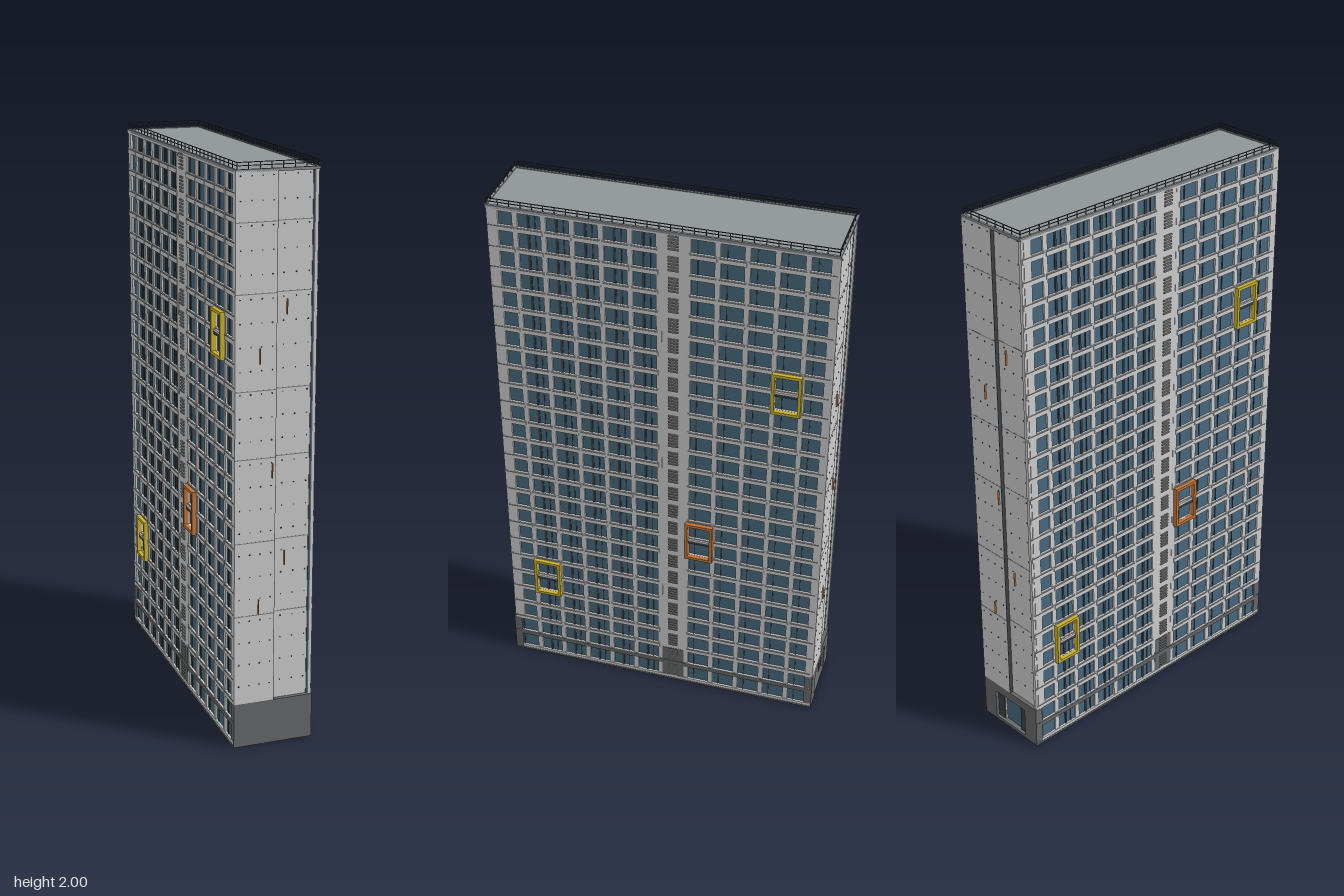
import * as THREE from 'three';
import { mergeGeometries } from 'three/addons/utils/BufferGeometryUtils.js';

const W = 0.285, L = 1.195, H = 1.972;      // footprint and wall height
const X = W / 2, Z = L / 2, STEP = 0.014;   // STEP: setback of half of each end wall
const FLOORS = 25, PITCH = 0.0787, FIRST = 0.048, WIN_H = 0.058;
const BAYS = 12, BAY = (L - 0.008) / BAYS, WIN_W = 0.08, VENT = 6;

const COLORS = {
  concrete: 0xcacac6, glass: 0x47677c, dark: 0x666768, trim: 0x3a4046,
  roof: 0x8f9594, yellow: 0xc9b02c, orange: 0xc27436, white: 0xe4e4e2, slat: 0x85888a,
};
const materials = {};
for (const k in COLORS) materials[k] = new THREE.MeshStandardMaterial({ color: COLORS[k] });

const box = (w, h, d, x, y, z) => new THREE.BoxGeometry(w, h, d).translate(x, y, z);
const floorY = (k) => FIRST + k * PITCH;
const bayZ = (i) => Z - 0.004 - BAY * (i + 0.5);

function add(group, name, color, geos) {
  const mesh = new THREE.Mesh(mergeGeometries(geos), materials[color]);
  mesh.name = name;
  group.add(mesh);
}

// Rectangular surround two floors high, with a cross bar
function windowFrame(bay, floor, color) {
  const g = new THREE.Group();
  g.name = 'projectingWindowFrame';
  const z = bayZ(bay), y = floorY(floor) + PITCH / 2;
  const w = 0.103, h = 0.16, t = 0.011, d = 0.026, x = X + 0.002;
  add(g, 'frameBars', color, [
    box(d, h, t, x, y, z - (w - t) / 2), box(d, h, t, x, y, z + (w - t) / 2),
    box(d, t, w, x, y - (h - t) / 2, z), box(d, t, w, x, y + (h - t) / 2, z),
  ]);
  add(g, 'frameCrossBar', 'trim', [box(0.012, 0.012, w - 2 * t, X, y - 0.006, z)]);
  add(g, 'frameSill', 'white', [box(0.014, 0.007, w - 2 * t, X, y + 0.003, z)]);
  return g;
}

// Long side: glass behind a grid of piers and spandrels, built facing +x
function facade() {
  const g = new THREE.Group();
  g.name = 'windowFacade';
  const piers = [], spandrels = [], mullions = [], slats = [], rails = [], lowBand = [];
  add(g, 'glazing', 'glass', [box(0.01, H - 0.01, L - 0.024, X - 0.013, H / 2, 0)]);
  for (let i = 0; i <= BAYS; i++) {
    const edge = i === 0 || i === BAYS;
    const w = edge ? 0.01 : BAY - WIN_W;
    const z = Z - 0.004 - BAY * i + (i === 0 ? -0.005 : edge ? 0.005 : 0);
    piers.push(box(0.012, H, w, X - 0.008, H / 2, z));
  }
  for (let i = 0; i < BAYS; i++) {
    const z = bayZ(i);
    if (i === VENT) {
      // Solid bay with louvres on each floor
      piers.push(box(0.012, H, BAY, X - 0.0085, H / 2, z));
      for (let k = 0; k < FLOORS; k++)
        for (let j = -2; j <= 2; j++) slats.push(box(0.006, 0.006, 0.035, X - 0.001, floorY(k) + j * 0.012, z));
      continue;
    }
    for (let k = 0; k < FLOORS; k++) {
      const y = floorY(k) + PITCH / 2;
      if (k < FLOORS - 1) {
        spandrels.push(box(0.013, PITCH - WIN_H, BAY - 0.006, X - 0.0065, y, z));
        rails.push(box(0.002, 0.002, BAY - 0.01, X + 0.001, y + 0.006, z));
      }
      const c = floorY(k);
      if (i > 0 && i < VENT) {
        mullions.push(box(0.005, WIN_H, 0.008, X - 0.007, c, z + 0.004));
        mullions.push(box(0.004, WIN_H, 0.003, X - 0.007, c, z - 0.02));
      } else mullions.push(box(0.004, WIN_H, 0.003, X - 0.007, c, z + 0.018));
    }
  }
  spandrels.push(box(0.013, 0.012, L - 0.008, X - 0.0065, H - 0.006, 0));
  spandrels.push(box(0.013, 0.019, L - 0.008, X - 0.0065, 0.0095, 0));
  lowBand.push(box(0.016, 0.018, L - 0.004, X - 0.007, 0.087, 0));
  lowBand.push(box(0.016, 0.008, L - 0.004, X - 0.007, 0.004, 0));
  lowBand.push(box(0.014, 0.16, 0.085, X - 0.0085, 0.08, bayZ(VENT)));
  add(g, 'piers', 'concrete', piers);
  add(g, 'spandrels', 'concrete', spandrels);
  add(g, 'spandrelRails', 'slat', rails);
  add(g, 'mullions', 'trim', mullions);
  add(g, 'louvres', 'slat', slats);
  add(g, 'groundFloorBands', 'dark', lowBand);
  g.add(windowFrame(1, 4, 'yellow'), windowFrame(7, 8, 'orange'), windowFrame(10, 17, 'yellow'));
  return g;
}

// Short side: stepped blank wall on a dark plinth, built facing +z
function endWall(hasDoor) {
  const g = new THREE.Group();
  g.name = 'endWall';
  const base = 0.16, h = H - base, y = base + h / 2;
  add(g, 'wallHalves', 'concrete', [
    box(X, h, 0.03, -X / 2, y, Z - 0.015),
    box(X, h, 0.03, X / 2, y, Z - STEP - 0.015),
  ]);
  add(g, 'wallStep', 'trim', [box(0.001, h, STEP, 0.0005, y, Z - STEP / 2)]);
  // Panel joints, anchor dots and fins
  const joints = [], dots = [], fins = [];
  for (const jy of [0.48, 0.74, 1.03, 1.26, 1.58, 1.81]) {
    joints.push(box(X, 0.003, 0.001, -X / 2, jy, Z), box(X, 0.003, 0.001, X / 2, jy, Z - STEP));
  }
  for (let k = 2; k < FLOORS; k++)
    for (const u of [-0.88, -0.62, -0.36, -0.1, 0.2, 0.5, 0.8])
      dots.push(box(0.004, 0.004, 0.003, u * X, floorY(k) + 0.02, Z - (u > 0 ? STEP : 0)));
  for (const [t, fy] of [[0.3, 1.375], [0.46, 0.985], [0.3, 0.51], [0.64, 1.53], [0.64, 0.67]])
    fins.push(box(0.003, 0.052, 0.008, (t - 0.5) * W, fy, Z + 0.002 - (t > 0.5 ? STEP : 0)));
  add(g, 'panelJoints', 'slat', joints);
  add(g, 'anchorDots', 'trim', dots);
  add(g, 'wallFins', 'orange', fins);
  if (!hasDoor) {
    add(g, 'plinth', 'dark', [box(W, base, 0.03, 0, base / 2, Z - 0.015)]);
    return g;
  }
  // Plinth with a recessed glazed entrance
  const dw = 0.16, dh = 0.125, side = (W - dw) / 2;
  add(g, 'plinth', 'dark', [
    box(side, base, 0.03, -(dw + side) / 2, base / 2, Z - 0.015),
    box(side, base, 0.03, (dw + side) / 2, base / 2, Z - 0.015),
    box(dw, base - dh, 0.03, 0, (base + dh) / 2, Z - 0.015),
    box(dw, 0.012, 0.03, 0, 0.006, Z - 0.015),
  ]);
  add(g, 'entranceSides', 'trim', [-1, 1].map((s) => box(0.035, dh, 0.018, s * (dw / 2 - 0.0175), dh / 2, Z - 0.02)));
  add(g, 'entranceGlass', 'glass', [box(dw, dh, 0.01, 0, dh / 2, Z - 0.025)]);
  add(g, 'entranceMullion', 'white', [-1, 1].map((s) => box(0.003, dh, 0.006, s * 0.044, dh / 2, Z - 0.017)));
  return g;
}

// Safety railing round the roof edge
function roofRailing() {
  const geos = [], r = 0.0025, x = X - 0.006, z = Z - 0.006, top = 2.0;
  for (const y of [top - r / 2, top - 0.012]) {
    for (const s of [-1, 1]) {
      geos.push(box(r, r, 2 * z, s * x, y, 0), box(2 * x, r, r, 0, y, s * z));
    }
  }
  const post = (px, pz) => geos.push(box(r, top - H, r, px, (top + H) / 2, pz));
  for (const s of [-1, 1]) {
    for (let i = 0; i <= 30; i++) post(s * x, -z + (2 * z * i) / 30);
    for (let i = 1; i < 7; i++) post(-x + (2 * x * i) / 7, s * z);
  }
  return geos;
}

export function createModel() {
  const model = new THREE.Group();
  model.name = 'towerBlock';
  const building = new THREE.Group();
  building.name = 'building';
  add(building, 'core', 'dark', [box(W - 0.03, H - 0.004, L - 0.056, 0, H / 2, 0)]);
  add(building, 'underside', 'dark', [box(W - 0.004, 0.006, L - 0.004, 0, 0.003, 0)]);
  add(building, 'roofSlab', 'roof', [box(W - 0.012, 0.006, L - 0.012, 0, H - 0.001, 0)]);
  // Coping round the slab
  add(building, 'coping', 'slat', [-1, 1].flatMap((s) => [
    box(0.008, 0.01, L, s * (X - 0.004), H, 0), box(W, 0.01, 0.008, 0, H, s * (Z - 0.004)),
  ]));
  add(building, 'roofRailing', 'trim', roofRailing());
  for (const back of [false, true]) {
    const half = new THREE.Group();
    half.name = back ? 'backHalf' : 'frontHalf';
    half.add(facade(), endWall(back));
    half.rotation.y = back ? Math.PI : 0;
    building.add(half);
  }
  building.rotation.y = THREE.MathUtils.degToRad(22);
  model.add(building);
  return model;
}
